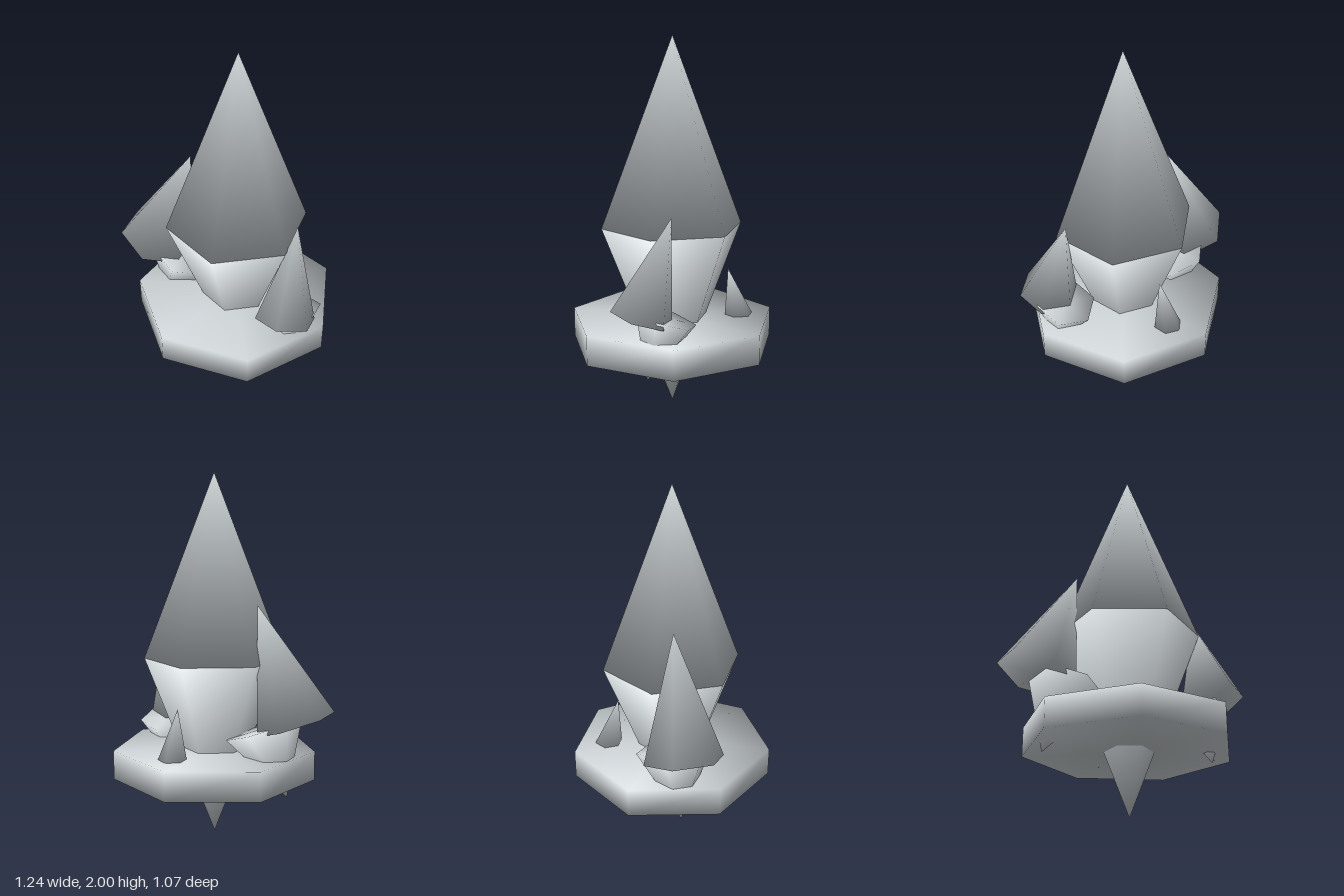
import * as THREE from 'three';
import { mergeVertices } from 'three/addons/utils/BufferGeometryUtils.js';

// Weld all corners and give each the plain average of its face normals
function soften(source) {
  source.deleteAttribute('normal');
  source.deleteAttribute('uv');
  const geo = mergeVertices(source, 1e-4);
  const pos = geo.attributes.position;
  const sums = Array.from({ length: pos.count }, () => new THREE.Vector3());
  const tri = new THREE.Triangle();
  const n = new THREE.Vector3();
  for (let i = 0; i < geo.index.count; i += 3) {
    const ids = [0, 1, 2].map((k) => geo.index.getX(i + k));
    tri.setFromAttributeAndIndices(pos, ...ids);
    tri.getNormal(n);
    ids.forEach((id) => sums[id].add(n));
  }
  const normals = new Float32Array(pos.count * 3);
  sums.forEach((v, i) => v.normalize().toArray(normals, i * 3));
  geo.setAttribute('normal', new THREE.BufferAttribute(normals, 3));
  return geo;
}

export function createModel() {
  const model = new THREE.Group();
  model.name = 'crystalCluster';
  const stone = new THREE.MeshStandardMaterial({ color: 0xcdd3d6 });
  stone.name = 'pale grey stone';

  // Seven-sided platform, a corner pointing back
  const platform = new THREE.Mesh(soften(new THREE.CylinderGeometry(0.565, 0.565, 0.16, 7)), stone);
  platform.name = 'platform';
  platform.position.set(0.067, 0.42, 0.025);
  platform.rotation.y = Math.PI;
  model.add(platform);

  // Crystal: an upward and a downward cone, each tilted about its own middle
  function crystal(name, x, z, r, top, bottom, tiltX = 0, tiltZ = 0) {
    const group = new THREE.Group();
    group.name = name;
    for (const [part, [y, h], flip] of [['upperPoint', top, 0], ['lowerPoint', bottom, Math.PI]]) {
      const cone = new THREE.ConeGeometry(r, h, 6).rotateX(flip);
      const mesh = new THREE.Mesh(soften(cone), stone);
      mesh.name = part;
      mesh.position.set(x, y, z);
      mesh.rotation.set(tiltX, 0, tiltZ);
      group.add(mesh);
    }
    model.add(group);
  }

  // top and bottom are [middle height, length]
  crystal('mainCrystal', 0.067, 0.025, 0.385, [1.5, 1], [0.5, 1]);
  crystal('rightSideCrystal', -0.333, -0.04, 0.215, [1.0, 0.659], [0.468, 0.39], 0, -0.349);
  crystal('leftFrontCrystal', 0.432, 0.195, 0.165, [0.866, 0.53], [0.443, 0.34], -0.297);
  crystal('backCrystal', 0.135, -0.3, 0.08, [0.622, 0.283], [0.415, 0.14], 0.218);

  return model;
}
